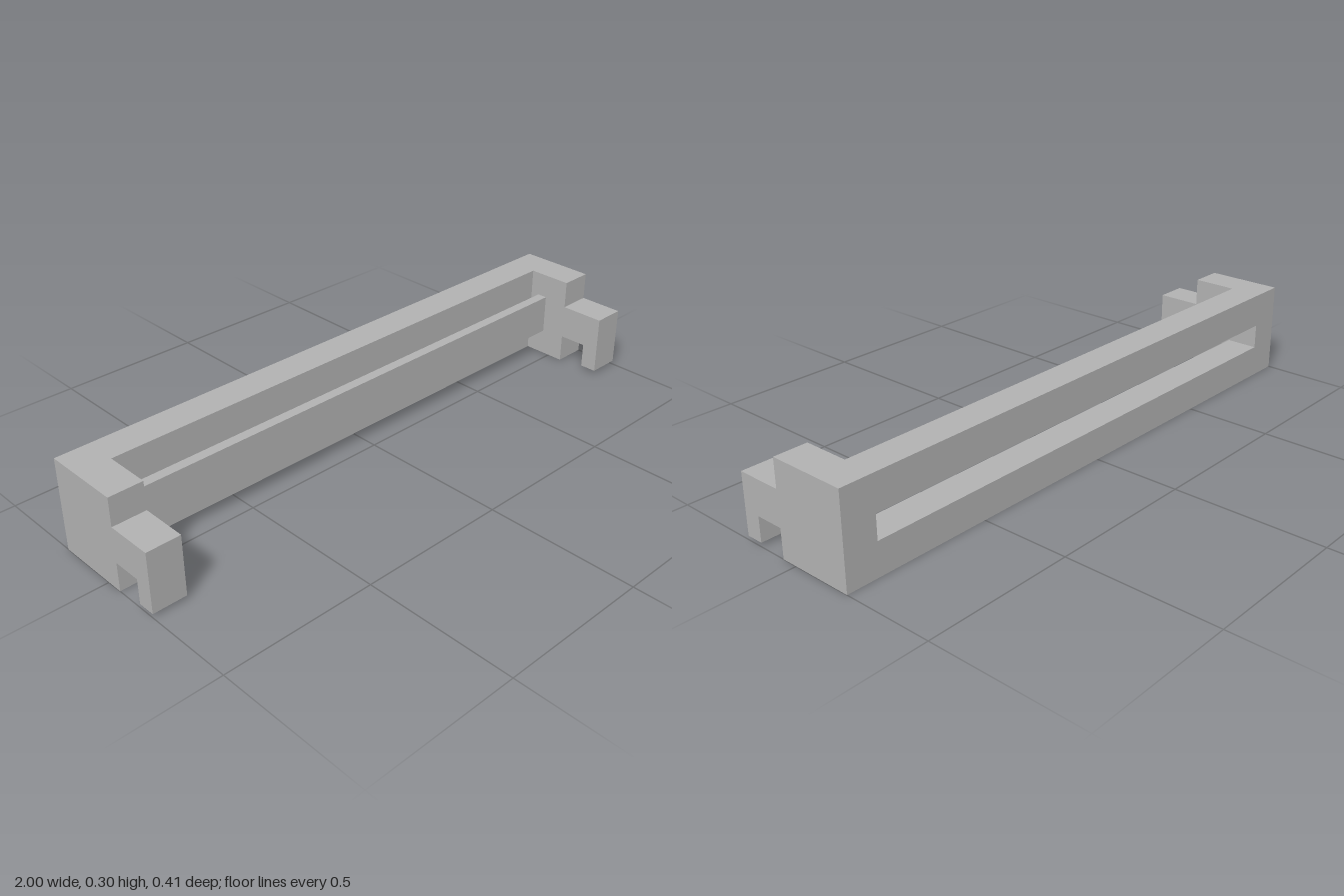
import * as THREE from 'three';

const INNER = 0.89; // half the clear span between the end brackets

export function createModel() {
  const model = new THREE.Group();
  model.name = 'bracketFrame';
  const grey = new THREE.MeshStandardMaterial({ color: 0xb2b2b2 });
  grey.name = 'grey';

  // Adds a full-span bar from y0..y1 and z0..z1
  const bar = (name, y0, y1, z0, z1) => {
    const mesh = new THREE.Mesh(new THREE.BoxGeometry(INNER * 2, y1 - y0, z1 - z0), grey);
    mesh.position.set(0, (y0 + y1) / 2, (z0 + z1) / 2);
    mesh.name = name;
    model.add(mesh);
  };

  // Back wall, split by the long slot
  bar('lowerRail', 0, 0.108, -0.205, -0.097);
  bar('upperRail', 0.19, 0.304, -0.205, -0.097);

  // Thin plate hung between the brackets in front of the slot
  bar('crossPlate', 0.087, 0.221, -0.066, -0.032);

  // End brackets: side profile (z, y) with a forward arm and down-turned hook
  const profile = new THREE.Shape([
    [-0.205, 0], [0.053, 0], [0.053, 0.095], [0.148, 0.095], [0.148, 0.013],
    [0.205, 0.013], [0.205, 0.211], [0.053, 0.211], [0.053, 0.304], [-0.205, 0.304],
  ].map(([z, y]) => new THREE.Vector2(z, y)));
  const bracket = new THREE.ExtrudeGeometry(profile, { depth: 1 - INNER, bevelEnabled: false });
  bracket.rotateY(-Math.PI / 2);

  for (const [name, x] of [['leftBracket', 1], ['rightBracket', -INNER]]) {
    const mesh = new THREE.Mesh(bracket, grey);
    mesh.position.x = x;
    mesh.name = name;
    model.add(mesh);
  }
  return model;
}
